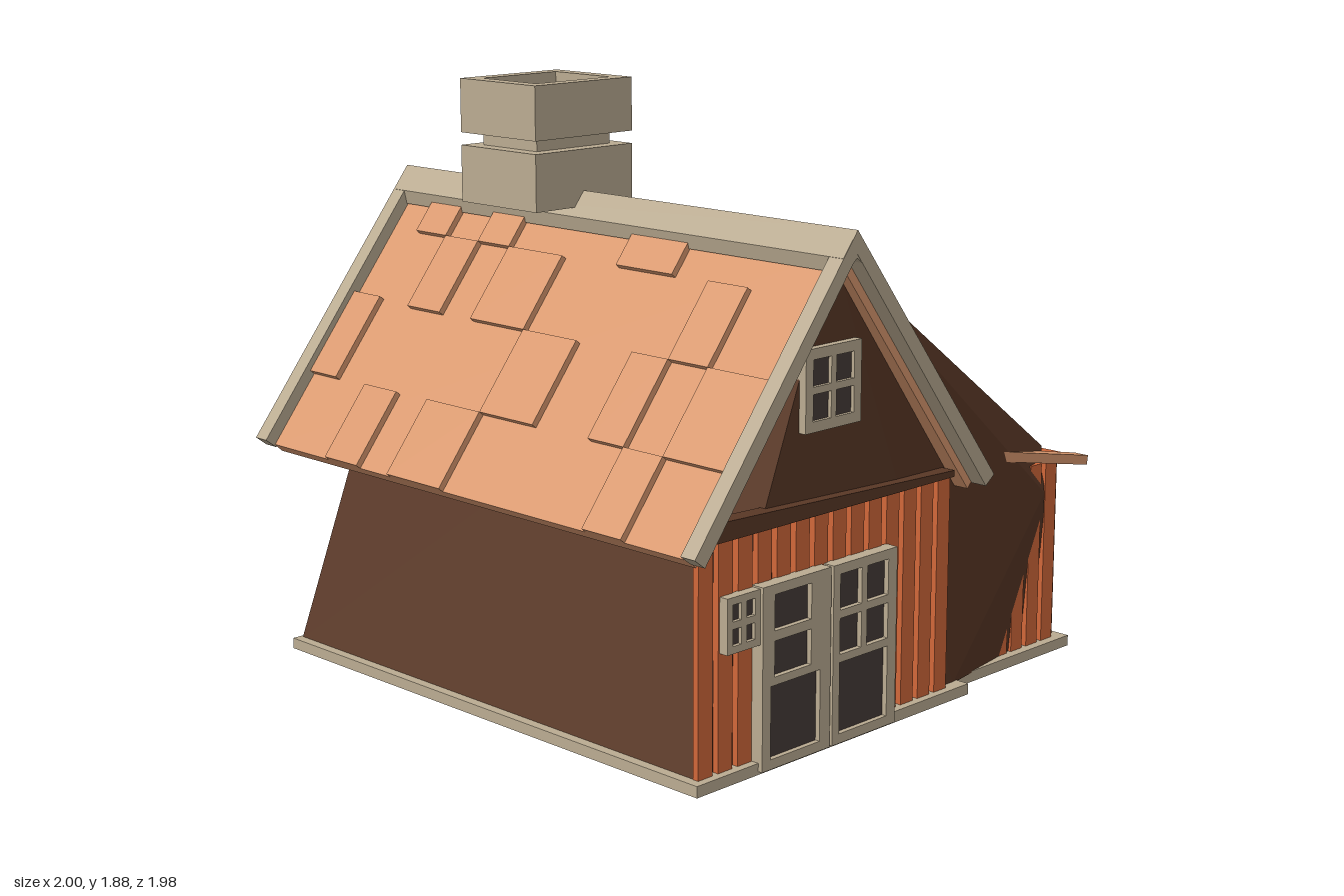
import * as THREE from 'three';
import { ConvexGeometry } from 'three/addons/geometries/ConvexGeometry.js';

const mat = (name, color) => Object.assign(new THREE.MeshStandardMaterial({ color }), { name });

export function createModel() {
  const house = new THREE.Group();
  house.name = 'cottage';
  const shingle = mat('light orange shingles', 0xdb9a70);
  const plankPaint = mat('orange planks', 0xd2683a);
  const brown = mat('dark brown', 0x5a3826);
  const stone = mat('beige trim', 0xbbac92);
  const glass = mat('dark glass', 0x463b39);

  const add = (name, geo, material, parent = house) => {
    const m = new THREE.Mesh(geo, material);
    m.name = name;
    parent.add(m);
    return m;
  };
  // box from its minimum and maximum corners
  const box = (name, material, x0, x1, y0, y1, z0, z1) =>
    add(name, new THREE.BoxGeometry(x1 - x0, y1 - y0, z1 - z0)
      .translate((x0 + x1) / 2, (y0 + y1) / 2, (z0 + z1) / 2), material);
  // [z, y] outline swept from x0 to x1
  const prism = (name, material, pts, x0, x1) => {
    const shape = new THREE.Shape(pts.map(([z, y]) => new THREE.Vector2(-z, y)));
    const geo = new THREE.ExtrudeGeometry(shape, { depth: x1 - x0, bevelEnabled: false });
    return add(name, geo.rotateY(Math.PI / 2).translate(x0, 0, 0), material);
  };
  const rect = (C, x0, y0, x1, y1) => {
    const s = new C();
    s.moveTo(x0, y0); s.lineTo(x1, y0); s.lineTo(x1, y1); s.lineTo(x0, y1); s.closePath();
    return s;
  };

  // stone base, stepped in behind the gable
  const foot = new THREE.Shape([[-0.91, -0.93], [0.955, -0.93], [0.955, 0.28], [0.89, 0.28], [0.89, 0.89], [-0.91, 0.89]]
    .map(([x, y]) => new THREE.Vector2(x, y)));
  add('base', new THREE.ExtrudeGeometry(foot, { depth: 0.035, bevelEnabled: false }).rotateX(-Math.PI / 2), stone);

  // tapered inner body
  const corners = [
    [-0.9, 1.47, 0.33], [0.91, 1.47, 0.33], [-0.9, 0.03, 0.9], [0.91, 0.03, 0.9], [0.91, 0.03, -0.26],
    [0.865, 0.54, -0.77], [0.81, 0.68, -0.82], [0.81, 0.03, -0.85], [-0.9, 0.68, -0.82], [-0.9, 0.03, -0.85],
  ];
  add('body', new ConvexGeometry(corners.map(c => new THREE.Vector3(...c))), brown);
  box('rearWall', brown, -0.89, 0.84, 0.03, 0.62, -0.85, -0.2);

  // vertical planks on the gable, the recessed side and the back
  const step = 0.08, plankW = 0.058;
  for (let z = 0.9; z > -0.14; z -= step) box('gablePlank', plankPaint, 0.91, 0.93, 0.03, 0.73, z - plankW, z);
  for (let z = -0.22; z > -0.85; z -= step)
    box('sidePlank', plankPaint, 0.84, 0.86, 0.03, 0.64, Math.max(z - plankW, -0.87), z);
  for (let x = -0.9; x < 0.84; x += step)
    box('backPlank', plankPaint, x, Math.min(x + plankW, 0.86), 0.03, 0.63, -0.87, -0.85);
  prism('gableBeam', brown, [[0.88, 0.775], [-0.2, 0.735], [-0.2, 0.715], [0.88, 0.715]], 0.89, 0.945);

  // steep main roof
  const R = 0.33;
  const vee = (top, outZ, outY, inZ, inY, inTop) => [
    [R, top], [R + outZ, outY], [R + inZ, inY], [R, inTop], [R - inZ, inY], [R - outZ, outY]];
  prism('mainRoof', shingle, vee(1.475, 0.62, 0.69, 0.595, 0.665, 1.425), -0.945, 0.945);
  for (const x of [-1, 0.945]) prism('gableTrim', stone, vee(1.54, 0.655, 0.71, 0.615, 0.68, 1.47), x, x + 0.055);
  prism('ridgeCap', stone, vee(1.54, 0.06, 1.465, 0.05, 1.42, 1.46), -0.999, 0.999);

  // raised shingles: x0, x1, upper y, lower y
  const patch = (x0, x1, y1, y0, side = 1) => {
    const on = (y, lift) => [R + side * ((1.475 - y) / 1.266 + lift * 0.785), y + lift * 0.62];
    prism('raisedShingle', shingle, [on(y1, 0), on(y1, 0.02), on(y0, 0.02), on(y0, 0)], x0, x1);
  };
  [[-0.81, -0.66, 1.46, 1.34], [-0.5, -0.35, 1.45, 1.34], [0.14, 0.38, 1.455, 1.34],
    [-0.66, -0.5, 1.34, 1.13], [-0.35, -0.1, 1.34, 1.13], [0.53, 0.69, 1.34, 1.13],
    [-0.945, -0.81, 1.14, 0.9], [-0.1, 0.14, 1.13, 0.9], [0.38, 0.53, 1.13, 0.9], [0.69, 0.94, 1.13, 0.9],
    [-0.66, -0.5, 0.9, 0.69], [-0.35, -0.1, 0.9, 0.69], [0.53, 0.69, 0.9, 0.69],
  ].forEach(p => patch(...p));
  patch(0.34, 0.63, 1.46, 1.35, -1);

  // shallow rear eave with side rafters
  prism('rearEave', plankPaint, [[-0.3, 0.76], [-0.985, 0.622], [-0.985, 0.6], [-0.3, 0.735]], -0.91, 0.83);
  for (const [x0, x1] of [[-0.96, -0.905], [0.82, 0.875]])
    prism('rearRafter', shingle, [[-0.29, 0.77], [-0.99, 0.628], [-0.985, 0.597], [-0.29, 0.737]], x0, x1);

  // chimney: solid block, neck, hollow crown
  box('chimneyBlock', stone, -0.48, -0.13, 1.49, 1.67, 0.12, 0.53);
  box('chimneyNeck', stone, -0.43, -0.18, 1.67, 1.715, 0.17, 0.48);
  const crown = rect(THREE.Shape, -0.48, -0.53, -0.13, -0.12);
  crown.holes.push(rect(THREE.Path, -0.43, -0.48, -0.18, -0.17));
  add('chimneyCrown', new THREE.ExtrudeGeometry(crown, { depth: 0.17, bevelEnabled: false })
    .rotateX(-Math.PI / 2).translate(0, 1.71, 0), stone);

  // framed opening facing local +z; panes are [x0, y0, x1, y1] from its lower left corner
  const framed = (name, w, h, depth, panes, pos, turn) => {
    const g = new THREE.Group();
    g.name = name;
    const s = rect(THREE.Shape, 0, 0, w, h);
    panes.forEach(p => s.holes.push(rect(THREE.Path, ...p)));
    add('frame', new THREE.ExtrudeGeometry(s, { depth, bevelEnabled: false }).translate(-w / 2, 0, 0), stone, g);
    add('glass', new THREE.BoxGeometry(w - 0.02, h - 0.02, 0.008).translate(0, h / 2, depth * 0.55), glass, g);
    g.position.set(...pos);
    g.rotation.y = turn;
    house.add(g);
  };
  // grid of panes between two corners, separated by bars
  const grid = (x0, y0, x1, y1, cols, rows, bar) => {
    const out = [], pw = (x1 - x0 - bar * (cols - 1)) / cols, ph = (y1 - y0 - bar * (rows - 1)) / rows;
    for (let i = 0; i < cols; i++) for (let j = 0; j < rows; j++) {
      const x = x0 + i * (pw + bar), y = y0 + j * (ph + bar);
      out.push([x, y, x + pw, y + ph]);
    }
    return out;
  };
  const cross = (w, h, f) => grid(f, f, w - f, h - f, 2, 2, 0.022);

  const side = Math.PI / 2;
  framed('gableWindow', 0.24, 0.245, 0.035, cross(0.24, 0.245, 0.032), [0.9, 0.96, 0.35], side);
  framed('smallWindow', 0.135, 0.165, 0.035, cross(0.135, 0.165, 0.022), [0.925, 0.39, 0.747], side);
  framed('leftDoor', 0.29, 0.55, 0.045,
    [[0.035, 0.03, 0.245, 0.25], ...grid(0.05, 0.275, 0.205, 0.52, 1, 2, 0.03)], [0.925, 0.01, 0.535], side);
  framed('rightDoor', 0.285, 0.55, 0.045,
    [[0.03, 0.03, 0.245, 0.25], ...grid(0.03, 0.275, 0.245, 0.52, 2, 2, 0.025)], [0.925, 0.01, 0.237], side);
  for (const x of [0.39, -0.255])
    framed('backWindow', 0.29, 0.33, 0.035, cross(0.29, 0.33, 0.045), [x, 0.15, -0.865], Math.PI);

  return house;
}
